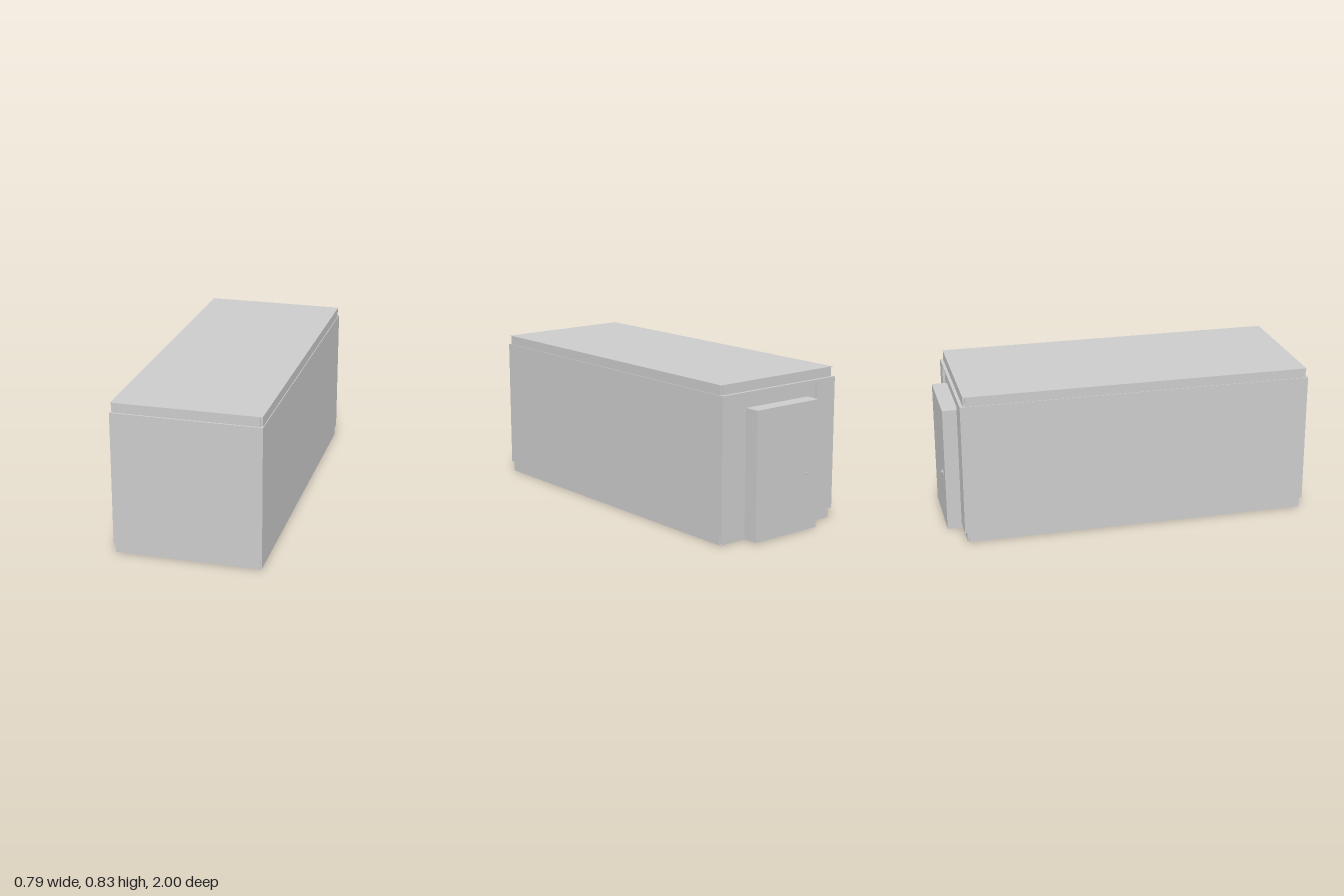
import * as THREE from 'three';

const material = new THREE.MeshStandardMaterial({ color: 0xcccccc, flatShading: true });

// Box given by its limits on each axis
function box(name, [x0, x1], [y0, y1], [z0, z1]) {
  const mesh = new THREE.Mesh(new THREE.BoxGeometry(x1 - x0, y1 - y0, z1 - z0), material);
  mesh.position.set((x0 + x1) / 2, (y0 + y1) / 2, (z0 + z1) / 2);
  mesh.name = name;
  return mesh;
}

// Rail frame with notched corners: side rails and end rails cross
function railFrame(name, y, z) {
  const frame = new THREE.Group();
  frame.name = name;
  const notch = 0.01;
  frame.add(
    box(name + 'SideRails', [-0.394, 0.392], y, [z[0] + notch, z[1] - notch]),
    box(name + 'EndRails', [-0.394 + notch, 0.392 - notch], y, z)
  );
  return frame;
}

export function createModel() {
  const model = new THREE.Group();
  model.name = 'container';

  // Base and roof, each closed by a thin sheet
  model.add(
    box('floorSheet', [-0.392, 0.39], [0, 0.004], [-0.903, 0.988]),
    railFrame('base', [0.004, 0.057], [-0.905, 0.99]),
    railFrame('roof', [0.78, 0.829], [-0.902, 0.99]),
    box('roofSheet', [-0.394, 0.392], [0.829, 0.832], [-0.902, 0.99])
  );

  // Walls, with a shallow recess around the door at the back
  model.add(
    box('walls', [-0.398, 0.396], [0.057, 0.78], [-0.906, 1]),
    box('leftBackPanel', [0.296, 0.396], [0.057, 0.78], [-0.919, -0.906]),
    box('rightBackPanel', [-0.398, -0.265], [0.057, 0.78], [-0.919, -0.906]),
    box('doorwayHeader', [-0.265, 0.296], [0.772, 0.78], [-0.919, -0.906])
  );

  // Thick door with a small latch
  const door = new THREE.Group();
  door.name = 'door';
  door.add(
    box('doorLeaf', [-0.206, 0.226], [0.002, 0.695], [-0.99, -0.9]),
    box('latchPlate', [-0.142, -0.116], [0.298, 0.324], [-0.994, -0.99])
  );
  const knob = new THREE.Mesh(new THREE.CylinderGeometry(0.008, 0.008, 0.006, 12), material);
  knob.name = 'latchKnob';
  knob.rotation.x = Math.PI / 2;
  knob.position.set(-0.129, 0.311, -0.997);
  door.add(knob);
  model.add(door);

  return model;
}
